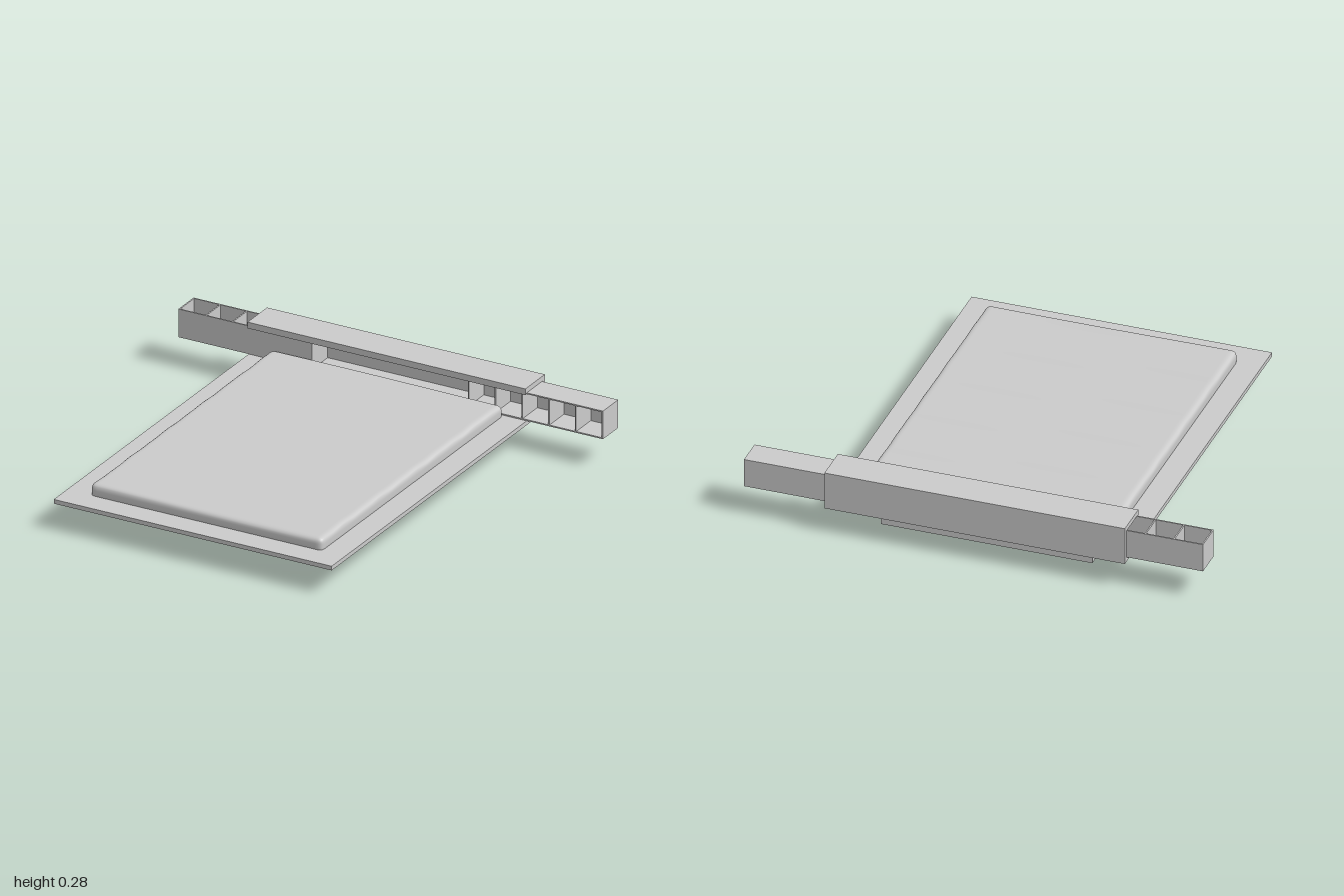
import * as THREE from 'three';
import { mergeVertices } from 'three/addons/utils/BufferGeometryUtils.js';

const material = new THREE.MeshStandardMaterial({ color: 0xcccccc });

// Box given by its limits on each axis
function box(name, [x0, x1], [y0, y1], [z0, z1]) {
  const mesh = new THREE.Mesh(new THREE.BoxGeometry(x1 - x0, y1 - y0, z1 - z0), material);
  mesh.position.set((x0 + x1) / 2, (y0 + y1) / 2, (z0 + z1) / 2);
  mesh.name = name;
  return mesh;
}

// Soft rounded slab with gentle ripples on its top
function mattress() {
  const half = new THREE.Vector3(0.546, 0.035, 0.752), r = 0.022;
  let geo = new THREE.BoxGeometry(half.x * 2, half.y * 2, half.z * 2, 100, 8, 136);
  geo.deleteAttribute('uv');
  geo.deleteAttribute('normal');
  geo = mergeVertices(geo);
  const pos = geo.attributes.position;
  const inner = half.clone().subScalar(r), low = inner.clone().negate();
  const p = new THREE.Vector3(), q = new THREE.Vector3();
  for (let i = 0; i < pos.count; i++) {
    p.fromBufferAttribute(pos, i);
    q.copy(p).clamp(low, inner);
    p.sub(q).setLength(r).add(q);
    if (p.y > 0.02) {
      p.y += 0.0012 * Math.sin(p.z * 22 + p.x * 3) + 0.0008 * Math.sin(p.z * 41 - p.x * 5);
    }
    pos.setXYZ(i, p.x, p.y, p.z);
  }
  geo.computeVertexNormals();
  const mesh = new THREE.Mesh(geo, material);
  mesh.position.set(-0.013, 0.151, 0.023);
  mesh.name = 'mattress';
  return mesh;
}

// Five-cell sliding tray, open either at its top or at its front
function tray(name, x0, x1, openTop) {
  const g = new THREE.Group();
  g.name = name;
  const t = 0.006, y0 = 0.135, y1 = 0.262, z0 = -0.86, z1 = -0.733, cells = 5;
  g.add(box('trayBottom', [x0, x1], [y0, y0 + t], [z0, z1]));
  g.add(box('trayBack', [x0, x1], [y0 + t, y1], [z0, z0 + t]));
  if (openTop) g.add(box('trayFront', [x0, x1], [y0 + t, y1], [z1 - t, z1]));
  else g.add(box('trayTop', [x0, x1], [y1 - t, y1], [z0 + t, z1]));
  const top = openTop ? y1 : y1 - t;
  const front = openTop ? z1 - t : z1;
  for (let i = 0; i <= cells; i++) {
    const x = x0 + (x1 - x0 - t) * i / cells;
    g.add(box('trayDivider', [x, x + t], [y0 + t, top], [z0 + t, front]));
  }
  return g;
}

export function createModel() {
  const model = new THREE.Group();
  model.name = 'bed';

  // Base and platform
  model.add(box('plinth', [-0.474, 0.446], [0, 0.1], [-0.74, 0.6]));
  model.add(box('lowerPlate', [-0.578, 0.549], [0.1, 0.116], [-0.74, 0.79]));
  model.add(box('platform', [-0.668, 0.641], [0.116, 0.135], [-0.884, 0.884]));
  model.add(mattress());

  // Headboard channel
  model.add(box('headboardBack', [-0.668, 0.641], [0.135, 0.284], [-0.884, -0.862]));
  model.add(box('headboardTop', [-0.668, 0.641], [0.262, 0.284], [-0.862, -0.722]));
  model.add(box('headboardLip', [-0.668, 0.641], [0.256, 0.262], [-0.731, -0.722]));

  // Trays sliding out at both sides
  model.add(tray('rightTray', -1, -0.37, true));
  model.add(tray('leftTray', 0.364, 1, false));
  return model;
}
